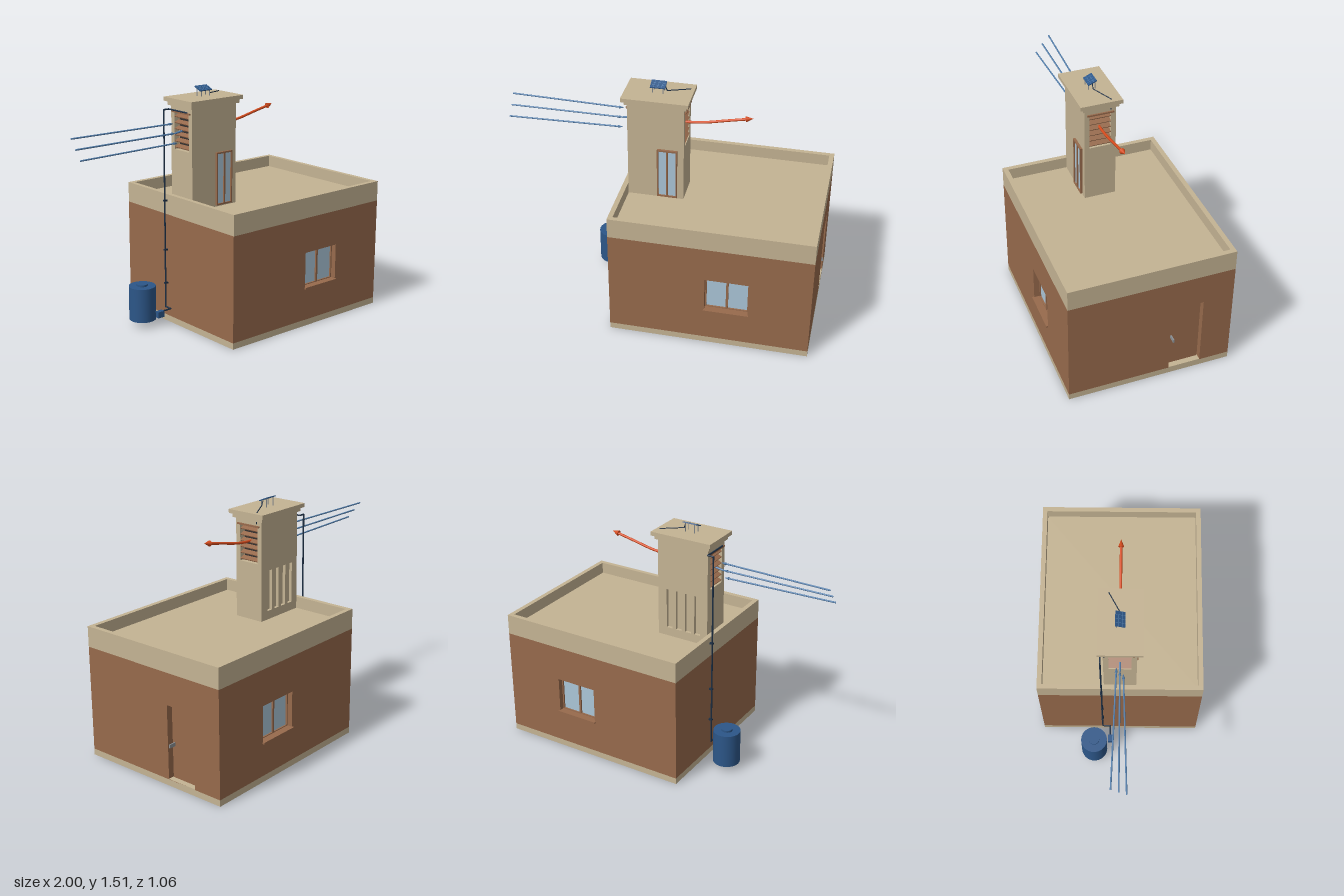
import * as THREE from 'three';

const mat = (name, color) => Object.assign(new THREE.MeshStandardMaterial({ color }), { name });

export function createModel() {
  const root = new THREE.Group();
  root.name = 'coolingTowerHouse';
  const cream = mat('creamPlaster', 0xc4b393);
  const brick = mat('brownWall', 0x976a4c);
  const glass = mat('paleGlass', 0xabc6d8);
  const blue = mat('tankBlue', 0x2c5688);
  const navy = mat('darkPipe', 0x1c2f45);
  const air = mat('coolAirBlue', 0x5580ad);
  const orange = mat('warmAirOrange', 0xd64c1e);
  const dark = mat('darkInterior', 0x33302f);
  const steel = mat('steel', 0x8b9094);

  const add = (parent, name, geo, m) => {
    const mesh = new THREE.Mesh(geo, m);
    mesh.name = name;
    parent.add(mesh);
    return mesh;
  };
  // Box given by its two opposite corners
  const box = (parent, name, m, x0, x1, y0, y1, z0, z1) => {
    const b = add(parent, name, new THREE.BoxGeometry(x1 - x0, y1 - y0, z1 - z0), m);
    b.position.set((x0 + x1) / 2, (y0 + y1) / 2, (z0 + z1) / 2);
    return b;
  };
  const side = (name, angle) => {
    const g = new THREE.Group();
    g.name = name;
    g.rotation.y = angle;
    root.add(g);
    return g;
  };
  const rect = (P, x0, x1, y0, y1) => {
    const p = new P();
    p.moveTo(x0, y0);
    p.lineTo(x1, y0);
    p.lineTo(x1, y1);
    p.lineTo(x0, y1);
    p.closePath();
    return p;
  };
  // Wall with rectangular holes; its outer face lies at local z = out
  const wall = (parent, name, m, x0, x1, y0, y1, out, t, holes = []) => {
    const s = rect(THREE.Shape, x0, x1, y0, y1);
    holes.forEach(h => s.holes.push(rect(THREE.Path, ...h)));
    const geo = new THREE.ExtrudeGeometry(s, { depth: t, bevelEnabled: false });
    add(parent, name, geo, m).position.z = out - t;
  };
  // Pipe along straight segments
  const pipe = (parent, name, m, r, pts) => {
    const path = new THREE.CurvePath();
    for (let i = 1; i < pts.length; i++) {
      path.add(new THREE.LineCurve3(new THREE.Vector3(...pts[i - 1]), new THREE.Vector3(...pts[i])));
    }
    path.curves.forEach(c => add(parent, name, new THREE.TubeGeometry(c, 1, r, 10), m));
    pts.forEach(p => add(parent, name + 'Joint', new THREE.SphereGeometry(r, 10, 6), m).position.set(...p));
  };
  const arrowHead = (name, m, r, len, tip, dir) => {
    const d = new THREE.Vector3(...dir).normalize();
    const c = add(root, name, new THREE.ConeGeometry(r, len, 16), m);
    c.quaternion.setFromUnitVectors(new THREE.Vector3(0, 1, 0), d);
    c.position.set(...tip).addScaledVector(d, -len / 2);
  };

  // House base, roof slab and parapet
  box(root, 'plinth', cream, -0.26, 0.99, 0, 0.04, -0.515, 0.515);
  box(root, 'roofSlab', cream, -0.26, 0.99, 0.71, 0.765, -0.515, 0.515);
  box(root, 'parapetLeft', cream, 0.96, 0.99, 0.765, 0.84, -0.515, 0.515);
  box(root, 'parapetRight', cream, -0.26, -0.23, 0.765, 0.84, -0.515, 0.515);
  for (const s of [-1, 1]) box(root, 'parapetLong', cream, -0.23, 0.96, 0.765, 0.84, s * 0.5 - 0.015, s * 0.5 + 0.015);

  // Long house walls, each with a two-pane window
  for (const [name, angle, s] of [['frontSide', 0, 1], ['backSide', Math.PI, -1]]) {
    const g = side(name, angle);
    const [a, b] = s > 0 ? [-0.195, 0.925] : [-0.925, 0.195];
    const c = s * 0.475;
    wall(g, 'houseWall', brick, a, b, 0.04, 0.71, 0.515, 0.065, [[c - 0.135, c + 0.135, 0.255, 0.485]]);
    box(g, 'windowGlass', glass, c - 0.135, c + 0.135, 0.255, 0.485, 0.465, 0.472);
    wall(g, 'windowFrame', brick, c - 0.135, c + 0.135, 0.255, 0.485, 0.482, 0.015,
      [[c - 0.127, c - 0.007, 0.263, 0.477], [c + 0.007, c + 0.127, 0.263, 0.477]]);
    box(g, 'windowSill', brick, c - 0.14, c + 0.14, 0.247, 0.258, 0.475, 0.528);
  }

  // End walls, with a recessed door on one of them
  const doorSide = side('doorSide', Math.PI / 2);
  wall(doorSide, 'houseWall', brick, -0.515, 0.515, 0.04, 0.71, 0.99, 0.065, [[0.12, 0.325, 0.042, 0.51]]);
  box(doorSide, 'door', brick, 0.125, 0.32, 0.044, 0.505, 0.93, 0.955);
  box(doorSide, 'doorFrame', brick, 0.12, 0.325, 0.042, 0.51, 0.928, 0.95);
  box(doorSide, 'threshold', cream, 0.12, 0.325, 0.04, 0.044, 0.93, 0.99);
  box(doorSide, 'doorHandle', steel, 0.138, 0.146, 0.25, 0.272, 0.955, 1.0);
  const tankSide = side('tankSide', -Math.PI / 2);
  wall(tankSide, 'houseWall', brick, -0.515, 0.515, 0.04, 0.71, 0.26, 0.065);

  // Tower shaft
  const towerFront = side('towerFront', 0);
  box(towerFront, 'towerWall', cream, -0.195, 0.085, 0.765, 1.4, 0.065, 0.1);
  box(towerFront, 'towerWindowGlass', glass, -0.035, 0.07, 0.785, 1.1, 0.1, 0.107);
  wall(towerFront, 'towerWindowFrame', brick, -0.045, 0.08, 0.775, 1.11, 0.115, 0.015,
    [[-0.037, 0.0125, 0.785, 1.1], [0.0225, 0.072, 0.785, 1.1]]);
  const towerBack = side('towerBack', Math.PI);
  const slots = [0, 1, 2, 3].map(i => [-0.06 + i * 0.066, -0.018 + i * 0.066, 0.82, 1.08]);
  wall(towerBack, 'slottedTowerWall', cream, -0.085, 0.195, 0.765, 1.4, 0.1, 0.02, slots);
  box(towerBack, 'slotBacking', cream, -0.085, 0.195, 0.765, 1.4, 0.065, 0.08);
  box(root, 'towerInterior', dark, -0.193, 0.083, 0.77, 1.398, -0.064, 0.064);

  // Louvred tower ends
  for (const [name, angle, out] of [['outletSide', Math.PI / 2, 0.12], ['inletSide', -Math.PI / 2, 0.23]]) {
    const g = side(name, angle);
    wall(g, 'louvreWall', cream, -0.1, 0.1, 0.765, 1.4, out, 0.035, [[-0.068, 0.068, 1.13, 1.36]]);
    for (let i = 0; i < 6; i++) {
      const slat = box(g, 'louvreSlat', brick, -0.068, 0.068, 0, 0.006, 0, 0.034);
      slat.position.set(0, 1.15 + i * 0.038, out - 0.017);
      slat.rotation.x = 0.42;
    }
    box(g, 'louvreHood', brick, -0.085, 0.085, 1.36, 1.37, out - 0.01, out + 0.01);
  }

  // Tower cap
  box(root, 'capLower', cream, -0.245, 0.135, 1.4, 1.425, -0.115, 0.115);
  box(root, 'capUpper', cream, -0.262, 0.15, 1.425, 1.45, -0.133, 0.133);

  // Solar panel with legs, cell lines and cable
  const panel = new THREE.Group();
  panel.name = 'solarPanel';
  panel.position.set(-0.058, 1.498, 0);
  panel.rotation.x = 0.4;
  root.add(panel);
  box(panel, 'panelPlate', blue, -0.047, 0.047, -0.003, 0.003, -0.03, 0.03);
  for (let i = -1; i <= 1; i++) box(panel, 'cellLine', air, i * 0.024 - 0.001, i * 0.024 + 0.001, 0.003, 0.004, -0.03, 0.03);
  for (const z of [-0.01, 0.01]) box(panel, 'cellLine', air, -0.047, 0.047, 0.003, 0.004, z - 0.001, z + 0.001);
  for (const x of [-0.09, -0.025]) {
    for (const z of [-0.02, 0.02]) pipe(root, 'panelLeg', steel, 0.003, [[x, 1.45, z], [x, 1.495 - z * 0.42, z]]);
  }
  pipe(root, 'panelCable', navy, 0.003, [[-0.015, 1.49, 0], [-0.005, 1.463, 0], [0.125, 1.453, -0.068]]);
  pipe(root, 'panelCableEnd', navy, 0.003, [[0.127, 1.4, -0.066], [0.127, 1.385, -0.066]]);

  // Water tank, pump and riser pipe
  const tank = add(root, 'waterTank', new THREE.CylinderGeometry(0.085, 0.085, 0.22, 40), blue);
  tank.position.set(-0.42, 0.15, -0.17);
  const lid = add(root, 'tankLid', new THREE.CylinderGeometry(0.035, 0.035, 0.013, 32), blue);
  lid.position.set(-0.42, 0.266, -0.17);
  box(root, 'pump', blue, -0.385, -0.34, 0.065, 0.105, -0.08, -0.05);
  pipe(root, 'riserPipe', navy, 0.005, [
    [-0.36, 0.1, -0.065], [-0.276, 0.1, -0.065], [-0.276, 0.1, -0.115],
    [-0.276, 1.373, -0.115], [-0.238, 1.373, -0.115], [-0.238, 1.373, 0.06],
  ]);
  for (const y of [0.26, 0.48, 0.8]) box(root, 'pipeClip', navy, -0.283, -0.26, y - 0.005, y + 0.005, -0.122, -0.108);

  // Cool air arrows entering the tower
  for (const i of [-1, 0, 1]) {
    const y = 1.245 - i * 0.056;
    pipe(root, 'coolAirStream', air, 0.005, [[-0.995, y, i * 0.045], [-0.3, y, i * 0.021]]);
    arrowHead('coolAirArrowHead', air, 0.009, 0.03, [-0.278, y, i * 0.02], [1, 0, -i * 0.035]);
  }
  pipe(root, 'coolAirInlet', air, 0.006, [[-0.28, 1.245, 0], [-0.19, 1.258, 0]]);

  // Warm air arrow leaving the tower
  const warm = new THREE.CatmullRomCurve3([[0.08, 1.262], [0.15, 1.265], [0.24, 1.276], [0.36, 1.302], [0.49, 1.329]]
    .map(([x, y]) => new THREE.Vector3(x, y, 0)));
  add(root, 'warmAirStream', new THREE.TubeGeometry(warm, 32, 0.008, 12), orange);
  arrowHead('warmAirArrowHead', orange, 0.018, 0.045, [0.52, 1.336, 0], [1, 0.21, 0]);

  return root;
}
